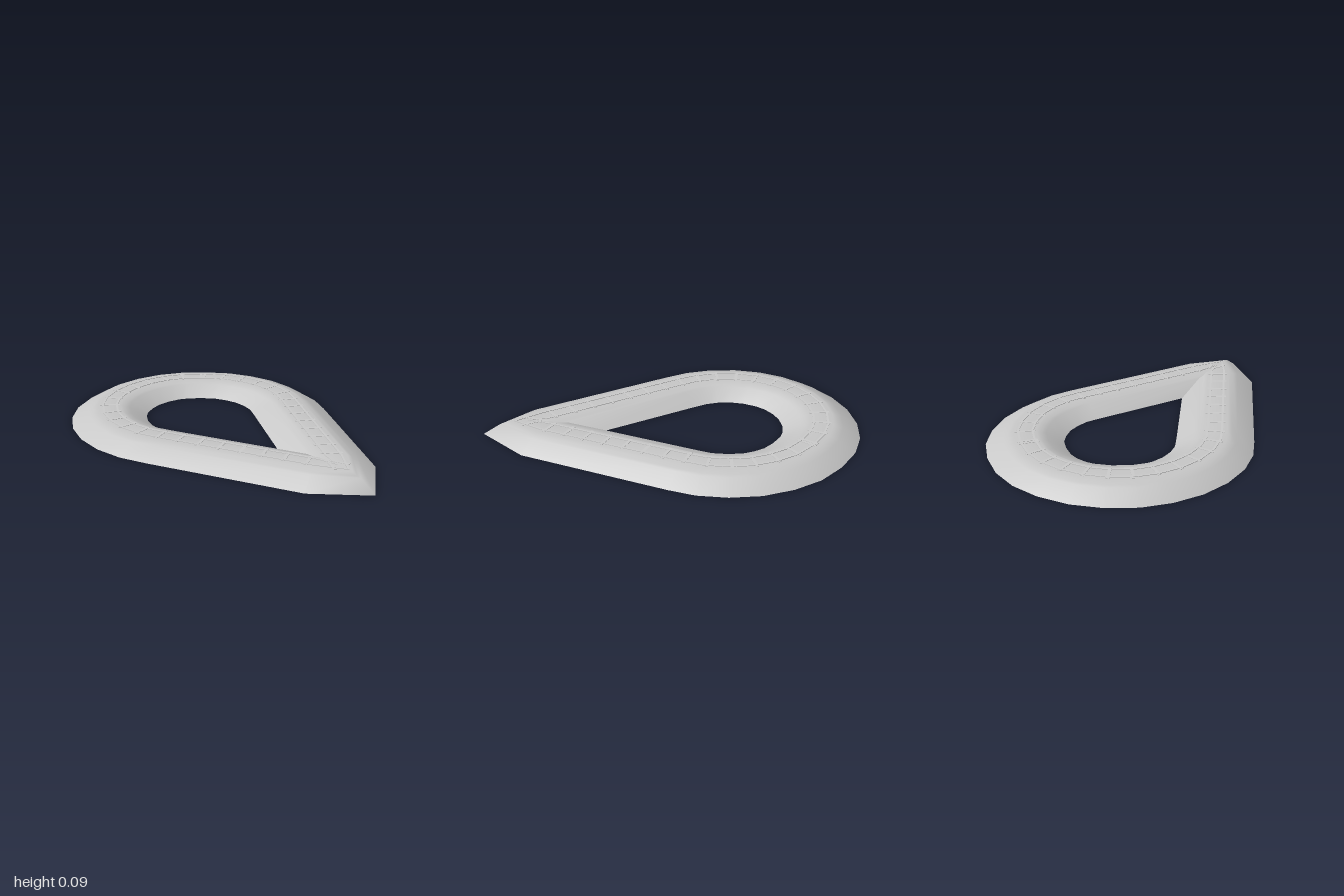
import * as THREE from 'three';

// Outer foot of the embankment, clockwise seen from above: [x, z]
const OUTER = [
  [-0.15, -1], [0.05, -0.985], [0.235, -0.92], [0.405, -0.815], [0.54, -0.675], [0.64, -0.515],
  [0.695, -0.355], [0.955, 0.605], [0.92, 0.995], [0.54, 0.995], [-0.375, 0.645], [-0.545, 0.57],
  [-0.7, 0.455], [-0.83, 0.3], [-0.92, 0.12], [-0.965, -0.075], [-0.965, -0.265], [-0.915, -0.46],
  [-0.825, -0.635], [-0.69, -0.79], [-0.53, -0.905], [-0.35, -0.975],
].map(([x, z]) => new THREE.Vector2(x, z));
const N = OUTER.length;

// Inward direction at each station, square to the line through its neighbours
const INWARD = OUTER.map((_, i) => {
  const t = OUTER[(i + 1) % N].clone().sub(OUTER[(i + N - 1) % N]).normalize();
  return new THREE.Vector2(-t.y, t.x);
});

const at = (i, d) => OUTER[i % N].clone().addScaledVector(INWARD[i % N], d);

// Sweep a profile of [distance inward, height] points round the closed loop
function sweep(profile) {
  const pos = [], index = [], m = profile.length;
  for (let i = 0; i < N; i++) {
    for (const [d, y] of profile) {
      const p = at(i, d);
      pos.push(p.x, y, p.y);
    }
  }
  for (let i = 0; i < N; i++) {
    for (let j = 0; j < m - 1; j++) {
      const a = i * m + j, b = ((i + 1) % N) * m + j;
      index.push(a, a + 1, b, b, a + 1, b + 1);
    }
  }
  const g = new THREE.BufferGeometry();
  g.setAttribute('position', new THREE.Float32BufferAttribute(pos, 3));
  g.setIndex(index);
  g.computeVertexNormals();
  return g;
}

export function createModel() {
  const group = new THREE.Group();
  const bankGrey = new THREE.MeshStandardMaterial({ color: 0xc8c8c8, side: THREE.DoubleSide });
  bankGrey.name = 'bank grey';
  const trackGrey = new THREE.MeshStandardMaterial({ color: 0xcccccc, side: THREE.DoubleSide });
  trackGrey.name = 'track grey';

  const add = (name, geometry, material) => {
    const mesh = new THREE.Mesh(geometry, material);
    mesh.name = name;
    group.add(mesh);
    return mesh;
  };

  // Hollow embankment with a stepped ballast bed on top
  add('embankment', sweep([
    [0, 0], [0.11, 0.066], [0.14, 0.067], [0.17, 0.084],
    [0.32, 0.084], [0.35, 0.067], [0.38, 0.066], [0.49, 0],
  ]), bankGrey);

  // Two low rails with sharp edges
  for (const [name, d] of [['outerRail', 0.205], ['innerRail', 0.295]]) {
    const w = 0.007;
    const rail = sweep([[d - w, 0.08], [d - w, 0.087], [d + w, 0.087], [d + w, 0.08]]).toNonIndexed();
    rail.computeVertexNormals();
    add(name, rail, trackGrey);
  }

  // Sleepers spaced evenly along the middle of the track
  const sleepers = new THREE.Group();
  sleepers.name = 'sleepers';
  group.add(sleepers);
  const box = new THREE.BoxGeometry(0.02, 0.006, 0.13);
  const spacing = 0.135;
  let next = 0, run = 0;
  for (let i = 0; i < N; i++) {
    const a = at(i, 0.25), b = at(i + 1, 0.25), len = a.distanceTo(b);
    for (; next < run + len; next += spacing) {
      const k = (next - run) / len;
      const p = a.clone().lerp(b, k);
      const n = INWARD[i].clone().lerp(INWARD[(i + 1) % N], k);
      const sleeper = new THREE.Mesh(box, trackGrey);
      sleeper.name = 'sleeper';
      sleeper.position.set(p.x, 0.083, p.y);
      sleeper.rotation.y = Math.atan2(n.x, n.y);
      sleepers.add(sleeper);
    }
    run += len;
  }
  return group;
}
